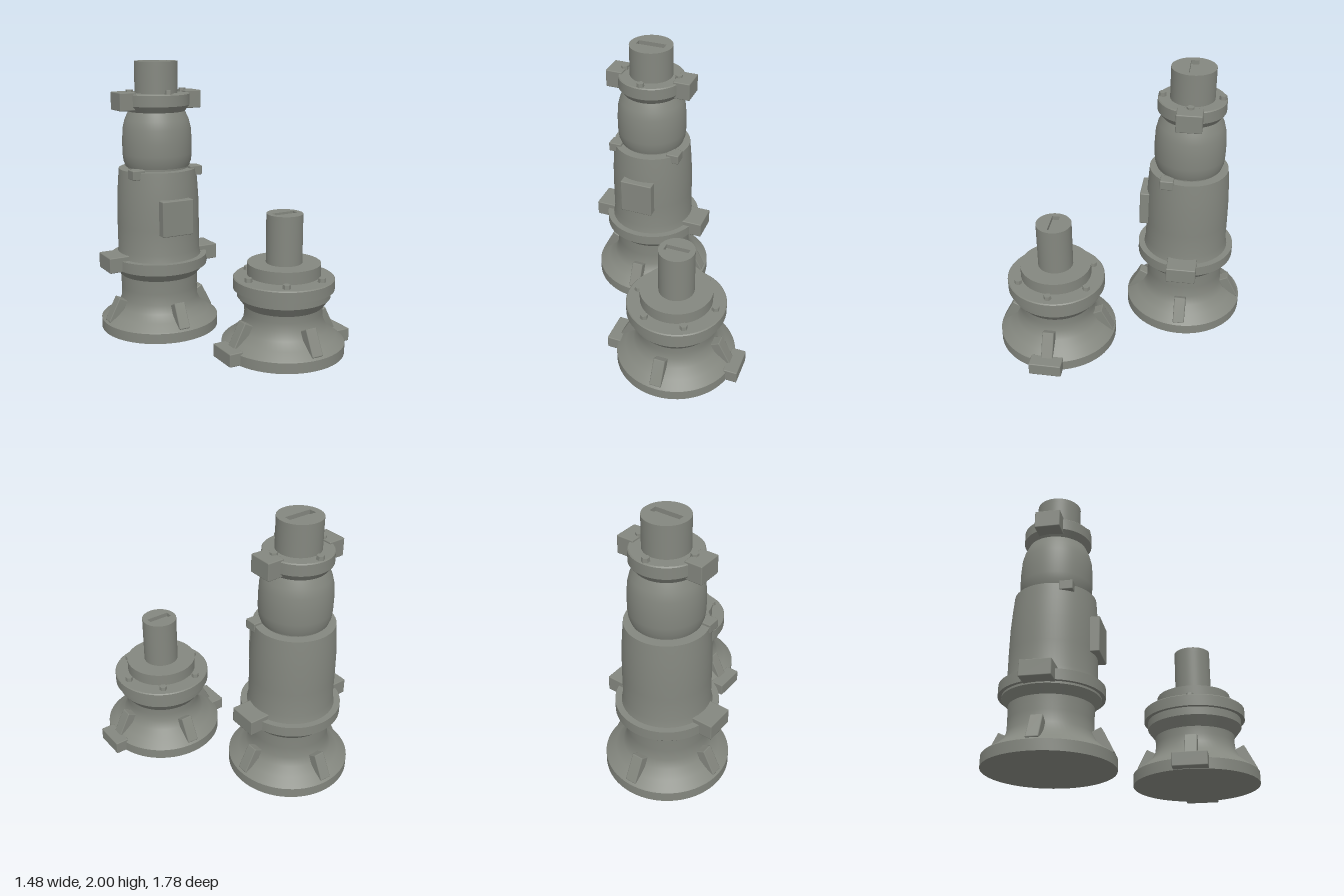
import * as THREE from 'three';
import { toCreasedNormals } from 'three/addons/utils/BufferGeometryUtils.js';
import { RoundedBoxGeometry } from 'three/addons/geometries/RoundedBoxGeometry.js';

const stone = new THREE.MeshStandardMaterial({ color: 0x84877f });
stone.name = 'greyStone';

function add(parent, name, geometry, x = 0, y = 0, z = 0) {
  const mesh = new THREE.Mesh(geometry, stone);
  mesh.name = name;
  mesh.position.set(x, y, z);
  parent.add(mesh);
  return mesh;
}

// Turned part from [radius, height] pairs, bottom to top
function turned(parent, name, profile) {
  const points = profile.map(([r, y]) => new THREE.Vector2(r, y));
  return add(parent, name, toCreasedNormals(new THREE.LatheGeometry(points, 64), 0.5));
}

// Box given by its lower and upper corners, with slightly softened edges
function block(parent, name, [x0, y0, z0], [x1, y1, z1]) {
  const geometry = new RoundedBoxGeometry(x1 - x0, y1 - y0, z1 - z0, 1, 0.007);
  return add(parent, name, geometry, (x0 + x1) / 2, (y0 + y1) / 2, (z0 + z1) / 2);
}

// The same block on both sides
function blockPair(parent, name, lo, hi) {
  block(parent, name + 'Left', lo, hi);
  block(parent, name + 'Right', [-hi[0], lo[1], lo[2]], [-lo[0], hi[1], hi[2]]);
}

// Round post with a shallow slot cut in its top
function slottedPost(parent, radius, y0, y1, halfLength, halfWidth) {
  const depth = 0.03, h = y1 - depth - y0;
  add(parent, 'post', new THREE.CylinderGeometry(radius, radius, h, 64), 0, y0 + h / 2, 0);
  const shape = new THREE.Shape().absarc(0, 0, radius, 0, Math.PI * 2);
  const slot = new THREE.Path();
  slot.moveTo(-halfLength, -halfWidth).lineTo(-halfLength, halfWidth)
    .lineTo(halfLength, halfWidth).lineTo(halfLength, -halfWidth).closePath();
  shape.holes.push(slot);
  const cap = new THREE.ExtrudeGeometry(shape, { depth, bevelEnabled: false, curveSegments: 32 });
  cap.rotateX(-Math.PI / 2);
  add(parent, 'slottedCap', toCreasedNormals(cap, 0.5), 0, y1 - depth, 0);
}

// Ring of hexagonal bolt heads
function bolts(parent, count, ring, y, height) {
  for (let i = 0; i < count; i++) {
    const a = (i / count) * Math.PI * 2;
    const geometry = toCreasedNormals(new THREE.CylinderGeometry(0.026, 0.029, height, 6), 0.3);
    add(parent, 'bolt', geometry, Math.cos(a) * ring, y + height / 2, Math.sin(a) * ring);
  }
}

// Four sloping buttresses round the foot
function buttresses(parent, shift) {
  for (let i = 0; i < 4; i++) {
    const arm = new THREE.Group();
    arm.name = 'buttress';
    arm.rotation.y = (i * Math.PI) / 2;
    const fin = add(arm, 'buttressFin', new RoundedBoxGeometry(0.075, 0.195, 0.085, 1, 0.007), 0.356 + shift, 0.162, 0);
    fin.rotation.z = 0.47;
    parent.add(arm);
  }
}

function tallTower() {
  const g = new THREE.Group();
  g.name = 'tallTower';
  turned(g, 'foot', [[0, 0], [0.443, 0], [0.443, 0.075], [0.435, 0.083], [0.37, 0.125], [0.315, 0.175],
    [0.288, 0.235], [0.286, 0.32], [0.29, 0.42], [0.335, 0.475], [0.335, 0.49], [0.36, 0.49],
    [0.36, 0.565], [0, 0.565]]);
  turned(g, 'lowerBody', [[0.315, 0.565], [0.304, 0.62], [0.305, 0.8], [0.303, 0.98], [0.296, 1.1],
    [0.289, 1.19], [0.286, 1.222], [0, 1.222]]);
  turned(g, 'waistRing', [[0.22, 1.215], [0.22, 1.245], [0, 1.245]]);
  turned(g, 'upperBody', [[0, 1.238], [0.235, 1.238], [0.25, 1.28], [0.255, 1.33], [0.256, 1.42],
    [0.25, 1.52], [0.235, 1.58], [0.208, 1.64], [0.242, 1.685], [0.242, 1.765], [0.235, 1.772], [0, 1.772]]);
  slottedPost(g, 0.157, 1.765, 2, 0.105, 0.029);
  bolts(g, 4, 0.21, 1.77, 0.03);
  buttresses(g, 0);
  blockPair(g, 'flangeBlock', [0.27, 0.485, -0.108], [0.44, 0.6, 0.108]);
  blockPair(g, 'topBlock', [0.195, 1.655, -0.09], [0.322, 1.785, 0.09]);
  blockPair(g, 'shoulderClamp', [0.18, 1.17, 0.09], [0.277, 1.24, 0.187]);
  block(g, 'frontPanel', [-0.122, 0.768, 0.27], [0.122, 1.028, 0.345]);
  return g;
}

function shortTower() {
  const g = new THREE.Group();
  g.name = 'shortTower';
  turned(g, 'foot', [[0, 0], [0.434, 0], [0.434, 0.075], [0.426, 0.083], [0.37, 0.125], [0.31, 0.175],
    [0.28, 0.235], [0.274, 0.29], [0.278, 0.34], [0.328, 0.405], [0.328, 0.46], [0.355, 0.46],
    [0.355, 0.535], [0.348, 0.542], [0, 0.542]]);
  turned(g, 'raisedDisc', [[0, 0.556], [0.257, 0.556], [0.257, 0.642], [0, 0.642]]);
  slottedPost(g, 0.127, 0.64, 0.99, 0.086, 0.028);
  bolts(g, 6, 0.288, 0.541, 0.029);
  buttresses(g, -0.008);
  blockPair(g, 'footBlock', [0.395, 0.003, -0.117], [0.5, 0.098, 0.117]);
  return g;
}

export function createModel() {
  const model = new THREE.Group();
  model.name = 'twinTowers';
  const tall = tallTower();
  tall.position.set(-0.297, 0, -0.447);
  const short = shortTower();
  short.position.set(0.24, 0, 0.455);
  model.add(tall, short);
  return model;
}
